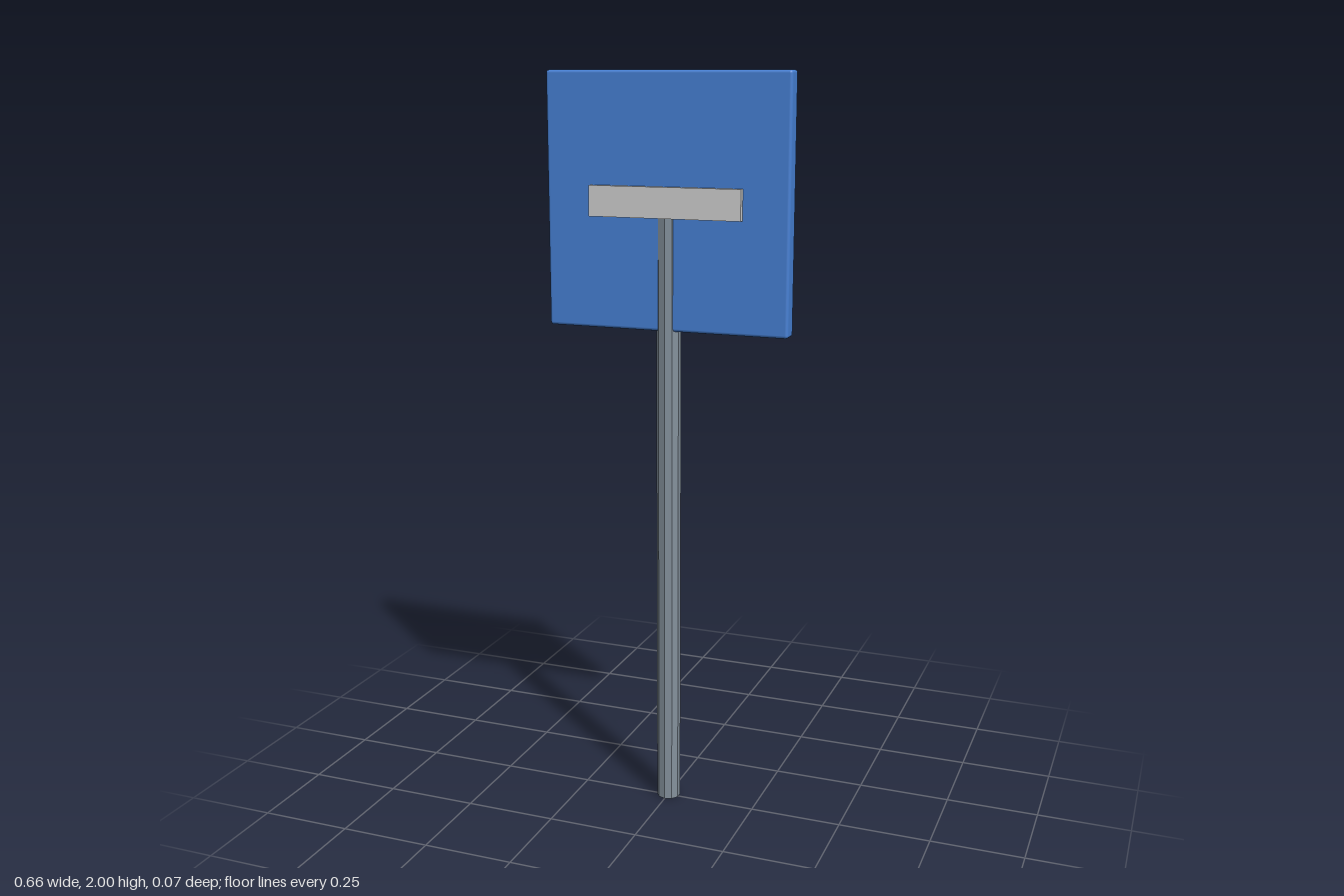
import * as THREE from 'three';
import { RoundedBoxGeometry } from 'three/addons/geometries/RoundedBoxGeometry.js';

export function createModel() {
  const blue = new THREE.MeshStandardMaterial({ color: 0x4680d4 });
  blue.name = 'signBlue';
  const steel = new THREE.MeshStandardMaterial({ color: 0x84919c });
  steel.name = 'postSteel';
  const pale = new THREE.MeshStandardMaterial({ color: 0xcfcfcf });
  pale.name = 'plateGrey';
  steel.flatShading = true;

  const group = new THREE.Group();
  group.name = 'signpost';
  const add = (name, geometry, material, x, y, z) => {
    const mesh = new THREE.Mesh(geometry, material);
    mesh.name = name;
    mesh.position.set(x, y, z);
    group.add(mesh);
  };

  // ten-sided post, running up through the panel
  const postTop = 1.67;
  add('post', new THREE.CylinderGeometry(0.0325, 0.0325, postTop, 10), steel, 0, postTop / 2, -0.005);

  // square panel with softened edges
  add('signPanel', new RoundedBoxGeometry(0.664, 0.664, 0.049, 2, 0.008), blue, 0, 1.668, -0.005);

  // plain plate on the front, covering the top of the post
  add('frontPlate', new THREE.BoxGeometry(0.416, 0.08, 0.017), pale, 0, 1.67, 0.0265);

  return group;
}
